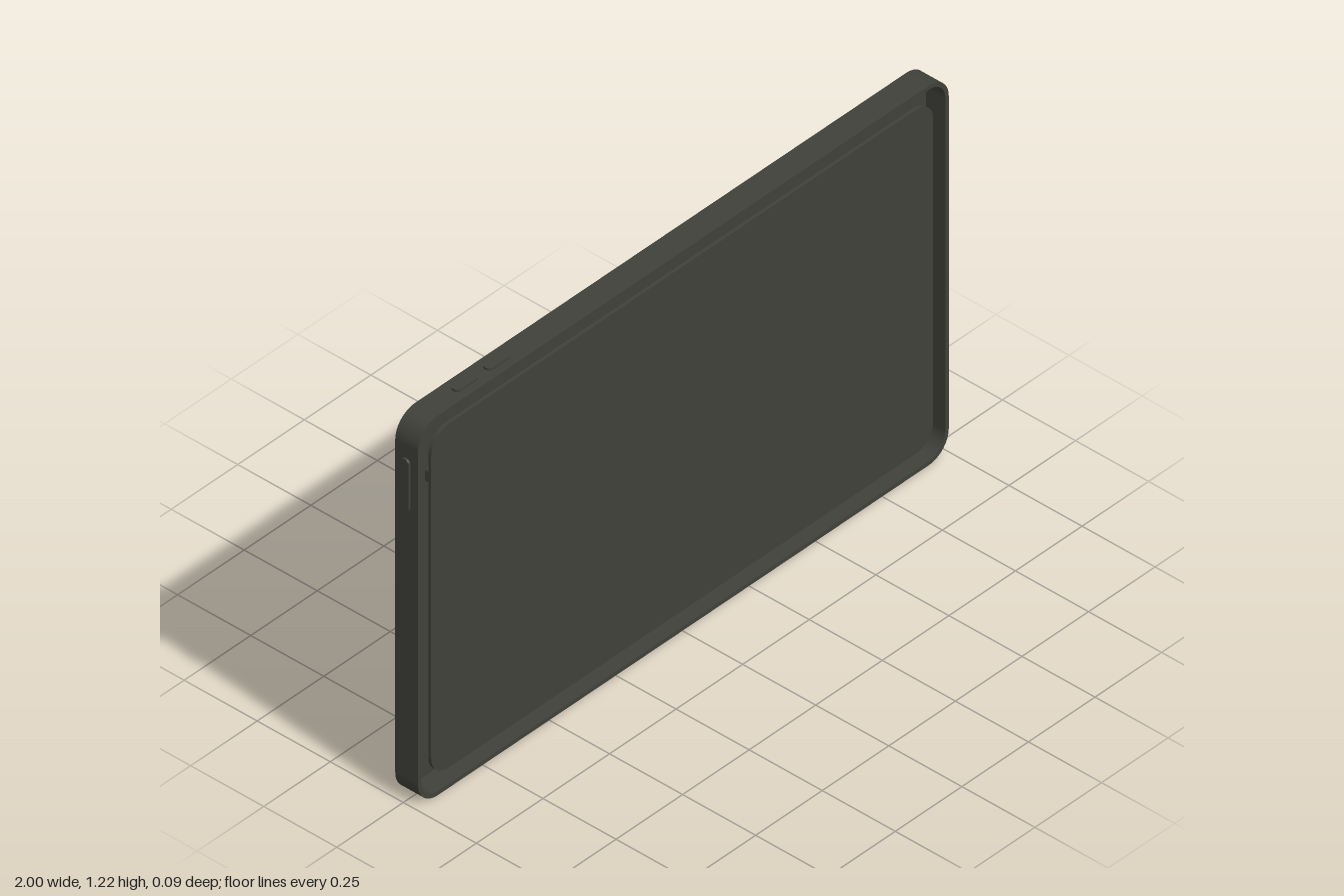
import * as THREE from 'three';

const charcoal = new THREE.MeshStandardMaterial({ color: 0x41413b });
charcoal.name = 'charcoal';

// Rounded rectangle centred on (cx, cy), as a Shape or a hole Path
function roundedRect(w, h, r, cx = 0, cy = 0, Type = THREE.Shape) {
  const s = new Type();
  const x = w / 2 - r, y = h / 2 - r;
  s.absarc(cx + x, cy + y, r, 0, Math.PI / 2);
  s.absarc(cx - x, cy + y, r, Math.PI / 2, Math.PI);
  s.absarc(cx - x, cy - y, r, Math.PI, Math.PI * 1.5);
  s.absarc(cx + x, cy - y, r, Math.PI * 1.5, Math.PI * 2);
  s.closePath();
  return s;
}

// Flat-capped slab between two z values
function slab(name, shape, z0, z1) {
  const geo = new THREE.ExtrudeGeometry(shape, { depth: z1 - z0, bevelEnabled: false, curveSegments: 12 });
  geo.translate(0, 0, z0);
  const mesh = new THREE.Mesh(geo, charcoal);
  mesh.name = name;
  return mesh;
}

// Disc or ring facing along z
function round(name, x, y, r, z0, z1, hole = 0) {
  const s = new THREE.Shape().absarc(x, y, r, 0, Math.PI * 2);
  if (hole) s.holes.push(new THREE.Path().absarc(x, y, hole, 0, Math.PI * 2));
  const geo = new THREE.ExtrudeGeometry(s, { depth: z1 - z0, bevelEnabled: false, curveSegments: 40 });
  geo.translate(0, 0, z0);
  const mesh = new THREE.Mesh(geo, charcoal);
  mesh.name = name;
  return mesh;
}

export function createModel() {
  const model = new THREE.Group();
  model.name = 'tablet';
  const W = 1.993, H = 1.214, CX = 0.0035, CY = H / 2;
  const BACK = -0.034, FLOOR = -0.022, FRONT = 0.044;

  // Hollow shell: back plate and thin side wall
  model.add(slab('backPlate', roundedRect(W, H, 0.075, CX, CY), BACK, FLOOR));
  const wall = roundedRect(W, H, 0.075, CX, CY);
  wall.holes.push(roundedRect(W - 0.026, H - 0.026, 0.062, CX, CY, THREE.Path));
  model.add(slab('sideWall', wall, FLOOR, FRONT));

  // Screen panel held inside the rim
  model.add(slab('screen', roundedRect(1.885, 1.1, 0.065, CX, CY + 0.003), 0.03, 0.04));

  // Main camera with stepped rings, second camera disc, flash
  model.add(round('cameraRing', -0.87, 1.09, 0.075, -0.043, 0, 0.054));
  model.add(round('cameraInnerRing', -0.87, 1.09, 0.054, -0.04, 0, 0.043));
  model.add(round('cameraLens', -0.87, 1.09, 0.043, -0.038, 0));
  model.add(round('secondCamera', -0.748, 0.983, 0.072, -0.043, 0));
  model.add(slab('flash', roundedRect(0.042, 0.042, 0.008, -0.873, 0.975), -0.037, -0.01));

  // Buttons, pushed through the wall
  const button = (name, length) => {
    const geo = new THREE.ExtrudeGeometry(roundedRect(length, 0.03, 0.0145),
      { depth: 0.025, bevelEnabled: false, curveSegments: 8 });
    const mesh = new THREE.Mesh(geo, charcoal);
    mesh.name = name;
    model.add(mesh);
    return mesh;
  };
  [-0.776, -0.656].forEach((x, i) => {
    const b = button('volumeButton' + (i + 1), 0.083);
    b.rotation.x = -Math.PI / 2;
    b.position.set(x, 1.221 - 0.025, 0.005);
  });
  const power = button('powerButton', 0.168);
  power.rotation.set(0, -Math.PI / 2, Math.PI / 2, 'YXZ');
  power.position.set(-1 + 0.025, 1.016, 0.003);

  return model;
}
